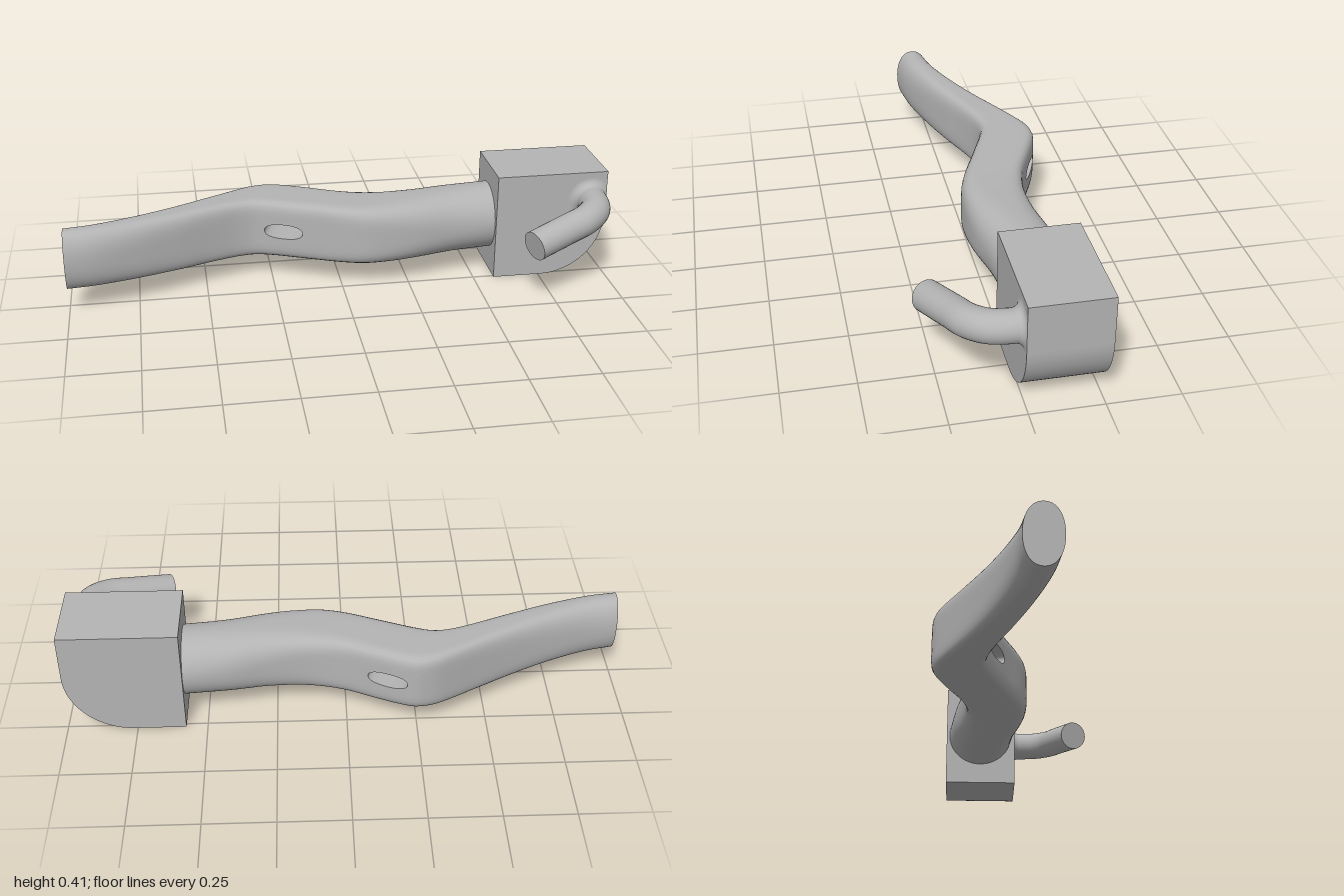
import * as THREE from 'three';
import { mergeVertices, mergeGeometries, toCreasedNormals } from 'three/addons/utils/BufferGeometryUtils.js';

// Arm stations: x, then back z, front z, bottom y, top y, squareness of the section
const STATIONS = [
  [-1.0, -0.025, 0.105, 0.095, 0.32, 2.2],
  [-0.9, -0.043, 0.088, 0.094, 0.319, 2.4],
  [-0.75, -0.09, 0.04, 0.092, 0.317, 3],
  [-0.6, -0.153, -0.02, 0.09, 0.315, 4],
  [-0.45, -0.228, -0.084, 0.089, 0.314, 5.5],
  [-0.37, -0.27, -0.11, 0.089, 0.313, 6.5],
  [-0.31, -0.298, -0.115, 0.089, 0.313, 7],
  [-0.24, -0.31, -0.093, 0.089, 0.313, 7],
  [-0.18, -0.292, -0.068, 0.089, 0.313, 7],
  [-0.1, -0.257, -0.035, 0.089, 0.313, 7],
  [0.0, -0.214, 0.009, 0.089, 0.313, 6],
  [0.08, -0.195, 0.034, 0.088, 0.313, 5],
  [0.16, -0.19, 0.04, 0.087, 0.315, 4],
  [0.27, -0.202, 0.034, 0.085, 0.319, 3],
  [0.42, -0.234, 0.01, 0.082, 0.324, 2.3],
  [0.58, -0.255, -0.005, 0.079, 0.328, 2],
];
const spline = new THREE.CubicInterpolant(
  STATIONS.map((s) => s[0]), STATIONS.flatMap((s) => s.slice(1)), 5, new Float32Array(5));

// Point on the arm at x and angle t around it (0 = front, PI/2 = top)
function armPoint(x, t) {
  const [back, front, bottom, top, n] = spline.evaluate(x);
  const c = Math.cos(t), s = Math.sin(t);
  const r = (Math.abs(c) ** n + Math.abs(s) ** n) ** (-1 / n);
  return new THREE.Vector3(x,
    (bottom + top) / 2 + (top - bottom) / 2 * r * s,
    (back + front) / 2 + (front - back) / 2 * r * c);
}

// Surface through rows of points; cells for which skip(row, column) is true stay open
function lattice(rows, skip = () => false) {
  const w = rows[0].length, index = [];
  for (let j = 0; j < rows.length - 1; j++) {
    for (let i = 0; i < w - 1; i++) {
      if (skip(j, i)) continue;
      const a = j * w + i, b = a + w;
      index.push(a, a + 1, b + 1, a, b + 1, b);
    }
  }
  const geo = new THREE.BufferGeometry().setFromPoints(rows.flat());
  geo.setIndex(index);
  return geo;
}

function smooth(geo) {
  const merged = mergeVertices(geo, 1e-5);
  merged.computeVertexNormals();
  return merged;
}

const range = (n, f) => Array.from({ length: n + 1 }, (_, i) => f(i));
const NX = 79, NT = 64;
const gridX = (i) => -1 + i * 0.02;
const gridT = (j) => -Math.PI / 2 + (j / NT) * Math.PI * 2;

// Slot openings: grid window (columns i0-i1, rows j0-j1) and centre
const SLOTS = [
  { i0: 34, i1: 45, j0: 11, j1: 21, x: -0.21, t: 0 },
  { i0: 37, i1: 49, j0: 43, j1: 53, x: -0.142, t: Math.PI },
];
const power = (v) => Math.sign(v) * Math.abs(v) ** 0.85;
const slotX = (a) => 0.068 * power(Math.cos(a));
const slotT = (a) => Math.atan(0.25 * power(Math.sin(a)));

// Ring of surface between a grid window and its slot opening
function slotSurround({ i0, i1, j0, j1, x, t }) {
  const edge = [];
  for (let i = i0; i < i1; i++) edge.push([i, j0]);
  for (let j = j0; j < j1; j++) edge.push([i1, j]);
  for (let i = i1; i > i0; i--) edge.push([i, j1]);
  for (let j = j1; j >= j0; j--) edge.push([i0, j]);
  const rows = range(4, (k) => edge.map(([i, j]) => {
    const ox = gridX(i), ot = gridT(j);
    const a = Math.atan2((ot - t) / 0.49, (ox - x) / 0.11);
    return armPoint(THREE.MathUtils.lerp(ox, x + slotX(a), k / 4),
      THREE.MathUtils.lerp(ot, t + slotT(a), k / 4));
  }));
  return lattice(rows);
}

function createArm(material) {
  const arm = new THREE.Group();
  arm.name = 'arm';

  const inSlot = (j, i) => SLOTS.some((s) => i >= s.i0 && i < s.i1 && j >= s.j0 && j < s.j1);
  const skin = lattice(range(NT, (j) => range(NX, (i) => armPoint(gridX(i), gridT(j)))), inSlot);
  const body = new THREE.Mesh(smooth(mergeGeometries([skin, ...SLOTS.map(slotSurround)])), material);
  body.name = 'armBody';

  // Wall of the slot through the arm
  const loop = range(64, (k) => (k / 64) * Math.PI * 2);
  const wall = new THREE.Mesh(smooth(lattice([
    loop.map((a) => armPoint(SLOTS[0].x + slotX(a), slotT(a))),
    loop.map((a) => armPoint(SLOTS[1].x + slotX(a), Math.PI - slotT(a))),
  ])), material);
  wall.name = 'slotWall';

  // Flat free end
  const rim = range(NT, (j) => armPoint(-1, gridT(j)));
  const middle = new THREE.Vector3(-1, 0.2075, 0.04);
  const end = new THREE.Mesh(smooth(lattice([rim, rim.map(() => middle.clone())])), material);
  end.name = 'armEnd';

  arm.add(body, wall, end);
  return arm;
}

// Block with one large rounded lower corner
function createBlock(material) {
  const l = 0.577, r = 0.995, top = 0.405, rad = 0.235;
  const shape = new THREE.Shape();
  shape.moveTo(l, 0);
  shape.lineTo(r - rad, 0);
  shape.absarc(r - rad, rad, rad, -Math.PI / 2, 0, false);
  shape.lineTo(r, top);
  shape.lineTo(l, top);
  const geo = new THREE.ExtrudeGeometry(shape, { depth: 0.276, bevelEnabled: false, curveSegments: 32 });
  geo.translate(0, 0, -0.266);
  const block = new THREE.Mesh(toCreasedNormals(geo, 0.5), material);
  block.name = 'block';
  return block;
}

// Bent round peg with a flared root
function createPeg(material) {
  const peg = new THREE.Group();
  peg.name = 'peg';
  const radius = 0.055;
  const path = new THREE.CatmullRomCurve3([
    [0.932, 0.299, -0.02], [0.932, 0.299, 0.05], [0.916, 0.296, 0.112], [0.865, 0.286, 0.164],
    [0.79, 0.27, 0.197], [0.65, 0.239, 0.256],
  ].map((p) => new THREE.Vector3(...p)));
  const rod = new THREE.Mesh(new THREE.TubeGeometry(path, 60, radius, 32), material);
  rod.name = 'pegRod';

  const tip = new THREE.Mesh(new THREE.CircleGeometry(radius, 32), material);
  tip.name = 'pegTip';
  tip.position.copy(path.getPoint(1));
  tip.quaternion.setFromUnitVectors(new THREE.Vector3(0, 0, 1), path.getTangent(1));

  // Concave flare, trimmed level with the side of the block
  const f = 0.028;
  const profile = range(8, (k) => {
    const a = (k / 8) * Math.PI / 2;
    return new THREE.Vector2(radius + f * (1 - Math.sin(a)), f * (1 - Math.cos(a)));
  });
  const geo = new THREE.LatheGeometry(profile, 48);
  geo.rotateX(Math.PI / 2);
  geo.translate(0.932, 0.299, 0.01);
  const pos = geo.attributes.position;
  for (let i = 0; i < pos.count; i++) pos.setX(i, Math.min(pos.getX(i), 0.994));
  const flare = new THREE.Mesh(geo, material);
  flare.name = 'pegFlare';

  peg.add(rod, tip, flare);
  return peg;
}

export function createModel() {
  const grey = new THREE.MeshStandardMaterial({ color: 0xb4b4b4, side: THREE.DoubleSide });
  grey.name = 'plainGrey';
  const model = new THREE.Group();
  model.name = 'bracketArm';
  model.add(createArm(grey), createBlock(grey), createPeg(grey));
  return model;
}
